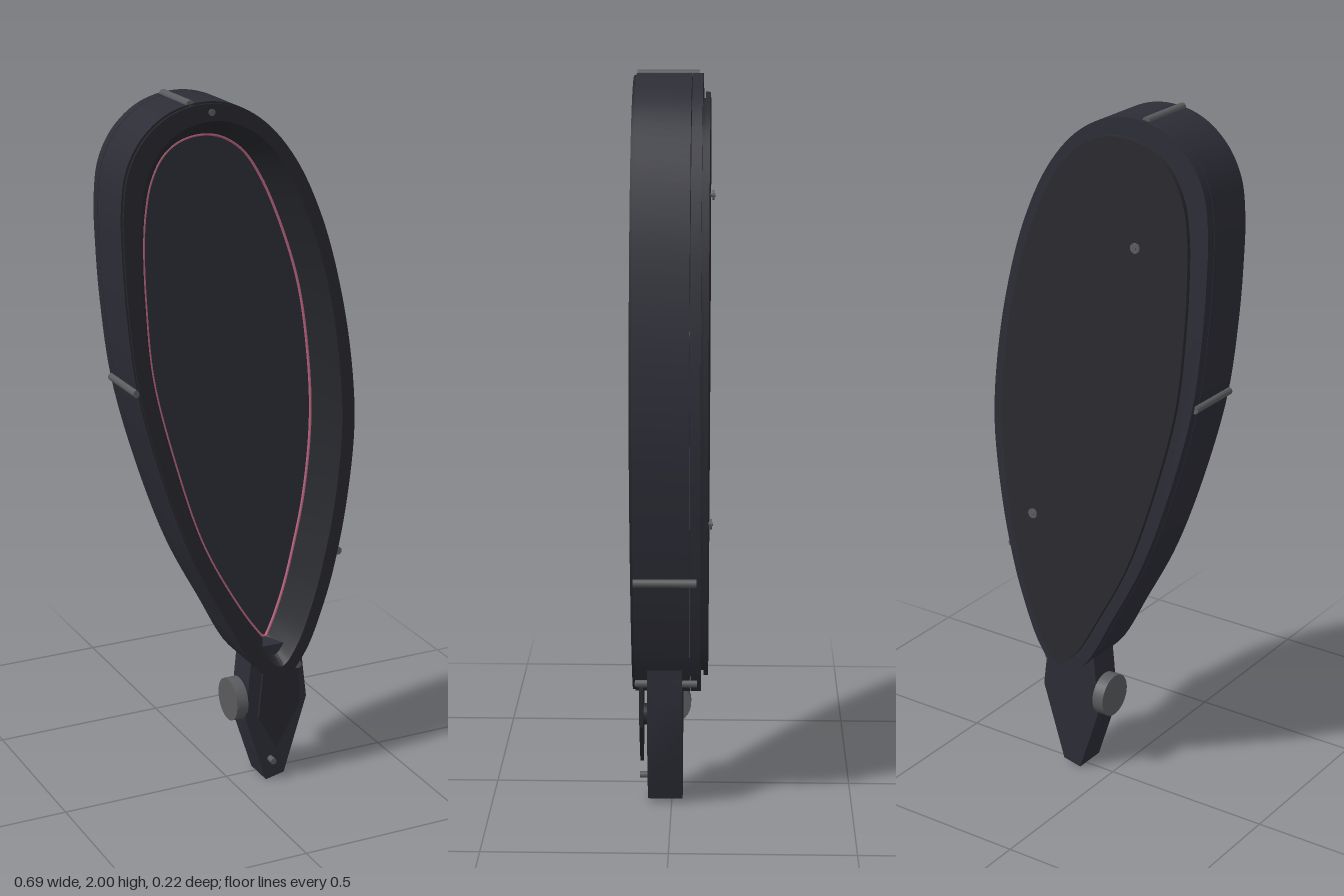
import * as THREE from 'three';
import { toCreasedNormals } from 'three/addons/utils/BufferGeometryUtils.js';

// Matching points of the outer outline and the floor outline, counter-clockwise from the top
const OUTER = [[-0.12, 1.993], [-0.215, 1.97], [-0.29, 1.91], [-0.333, 1.83], [-0.347, 1.73], [-0.345, 1.6], [-0.335, 1.45],
  [-0.307, 1.235], [-0.245, 1.0], [-0.152, 0.74], [-0.055, 0.55], [0.045, 0.375], [0.125, 0.32], [0.195, 0.39],
  [0.26, 0.545], [0.297, 0.68], [0.326, 0.84], [0.345, 1.05], [0.333, 1.235], [0.295, 1.45], [0.235, 1.655],
  [0.155, 1.82], [0.065, 1.925], [-0.03, 1.98]];
const INNER = [[-0.075, 1.886], [-0.14, 1.872], [-0.187, 1.835], [-0.22, 1.77], [-0.236, 1.69], [-0.242, 1.6], [-0.237, 1.44],
  [-0.218, 1.235], [-0.16, 1.0], [-0.075, 0.74], [0.015, 0.565], [0.09, 0.45], [0.118, 0.42], [0.136, 0.45],
  [0.175, 0.555], [0.207, 0.68], [0.239, 0.84], [0.257, 1.05], [0.248, 1.235], [0.215, 1.45], [0.155, 1.635],
  [0.095, 1.765], [0.045, 1.835], [-0.015, 1.875]];
const SEGMENTS = 144;

const mat = (name, color, double) => new THREE.MeshStandardMaterial({ name, color, side: double ? THREE.DoubleSide : THREE.FrontSide });

// Outline between the outer edge (t = 0) and the floor edge (t = 1)
function outline(t) {
  const pts = OUTER.map(([x, y], i) => new THREE.Vector3(
    THREE.MathUtils.lerp(x, INNER[i][0], t), THREE.MathUtils.lerp(y, INNER[i][1], t), 0));
  return new THREE.CatmullRomCurve3(pts, true, 'centripetal');
}
const ring = (t) => outline(t).getPoints(SEGMENTS).slice(0, SEGMENTS);
const toShape = (pts) => new THREE.Shape(pts.map((p) => new THREE.Vector2(p.x, p.y)));

// Sweeps a [t, z] section around the outline
function loft(section) {
  const rings = section.map(([t, z]) => ring(t).map((p) => p.setZ(z)));
  const pos = [];
  for (let j = 0; j < rings.length - 1; j++) {
    for (let i = 0; i < SEGMENTS; i++) {
      const k = (i + 1) % SEGMENTS;
      const [a, b, c, d] = [rings[j][i], rings[j][k], rings[j + 1][k], rings[j + 1][i]];
      for (const v of [a, b, c, a, c, d]) pos.push(v.x, v.y, v.z);
    }
  }
  const g = new THREE.BufferGeometry();
  g.setAttribute('position', new THREE.Float32BufferAttribute(pos, 3));
  return toCreasedNormals(g, 0.5);
}

// Flat slab between two depths
function slab(shape, z0, z1) {
  const g = new THREE.ExtrudeGeometry(shape, { depth: z1 - z0, bevelEnabled: false });
  g.translate(0, 0, z0);
  return toCreasedNormals(g, 0.5);
}

// Cylinder lying along z
function rod(x, y, z0, z1, r) {
  return new THREE.CylinderGeometry(r, r, z1 - z0, 20).rotateX(Math.PI / 2).translate(x, y, (z0 + z1) / 2);
}

export function createModel() {
  const model = new THREE.Group();
  model.name = 'teardropCase';
  const shellMat = mat('charcoal', 0x2c2d36, true);
  const rimMat = mat('dark charcoal', 0x27282d, true);
  const backMat = mat('back grey', 0x2a2a2f);
  const metalMat = mat('grey metal', 0x5a5b5e);
  const trimMat = mat('pink trim', 0xb8647e);
  const add = (name, geometry, material, parent = model) => {
    const mesh = new THREE.Mesh(geometry, material);
    mesh.name = name;
    parent.add(mesh);
    return mesh;
  };

  // Case: outer wall, lip with sloping inner wall, floor
  add('outerWall', loft([[0.6, -0.05], [0, -0.05], [0, 0.1]]), shellMat);
  add('rim', loft([[0, 0.1], [0.05, 0.1], [0.05, 0.107], [0.48, 0.107], [0.55, 0.095], [1, 0]]), rimMat);
  add('floor', new THREE.ShapeGeometry(toShape(ring(1))), shellMat);
  add('floorTrim', new THREE.TubeGeometry(outline(0.99), 200, 0.0045, 8, true).translate(0, 0, 0.003), trimMat);

  // Back frame and cover
  add('backFrame', slab(toShape(ring(0)), -0.08, -0.052), shellMat);
  add('coverSpacer', slab(toShape(ring(0.6)), -0.088, -0.08), rimMat);
  add('backCover', slab(toShape(ring(0.45)), -0.1, -0.087), backMat);
  for (const [x, y] of [[-0.143, 1.66], [0.197, 0.82]]) {
    add('coverScrewStem', rod(x, y, -0.107, -0.1, 0.006), metalMat);
    add('coverScrew', rod(x, y, -0.11, -0.105, 0.014), metalMat);
    add('coverScrewTip', rod(x, y, -0.113, -0.11, 0.005), metalMat);
  }

  // Rods across the side wall
  for (const [x, y] of [[-0.15, 1.989], [-0.308, 1.235], [0.301, 0.685], [0.178, 0.36]]) {
    add('sideRod', rod(x, y, -0.07, 0.1, 0.011), metalMat);
  }
  add('rimScrew', rod(-0.093, 1.965, 0.1, 0.11, 0.009), metalMat);

  // Pointed foot with its front plate
  const poly = (pts) => new THREE.Shape(pts.map(([x, y]) => new THREE.Vector2(x, y)));
  const foot = new THREE.Group();
  foot.name = 'foot';
  model.add(foot);
  add('footBlock', slab(poly([[0.095, 0], [0.152, 0.012], [0.222, 0.24], [0.205, 0.38], [0.205, 0.42], [0.05, 0.42],
    [0.04, 0.32], [0.03, 0.2]]), -0.03, 0.066), shellMat, foot);
  add('frontPlate', slab(poly([[0.118, 0.11], [0.19, 0.235], [0.187, 0.345], [0.14, 0.34], [0.075, 0.36], [0.06, 0.21]]),
    0.078, 0.088), rimMat, foot);
  add('platePost', rod(0.12, 0.25, 0.06, 0.08, 0.03), rimMat, foot);
  add('footScrew', rod(0.108, 0.065, 0.06, 0.09, 0.009), metalMat, foot);

  // Side knob
  const knob = new THREE.Group();
  knob.name = 'knob';
  model.add(knob);
  add('knobDisc', new THREE.CylinderGeometry(0.062, 0.062, 0.035, 32).rotateZ(Math.PI / 2).translate(0.0175, 0.25, 0.01), metalMat, knob);
  add('knobStem', new THREE.CylinderGeometry(0.015, 0.015, 0.05, 16).rotateZ(Math.PI / 2).translate(0.04, 0.25, 0.01), metalMat, knob);
  return model;
}
